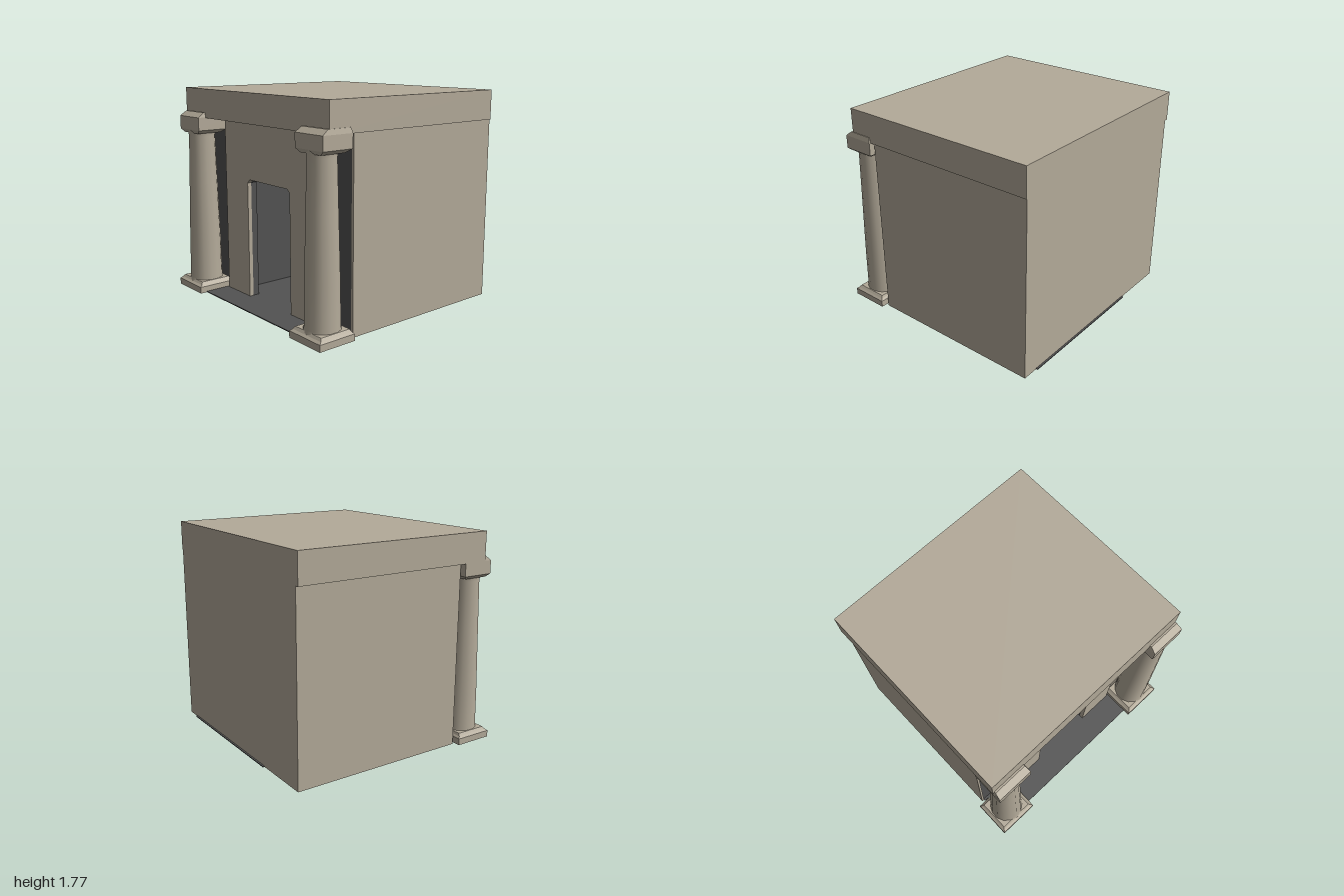
import * as THREE from 'three';

const stone = new THREE.MeshStandardMaterial({ color: 0xb3aa99 });
const facetedStone = new THREE.MeshStandardMaterial({ color: 0xb3aa99, flatShading: true });
const dark = new THREE.MeshStandardMaterial({ color: 0x525252 });

function add(parent, name, geometry, material) {
  const mesh = new THREE.Mesh(geometry, material);
  mesh.name = name;
  parent.add(mesh);
  return mesh;
}

// Box given by its extents on each axis
function box(parent, name, [x0, x1], [y0, y1], [z0, z1], material = stone) {
  const mesh = add(parent, name, new THREE.BoxGeometry(x1 - x0, y1 - y0, z1 - z0), material);
  mesh.position.set((x0 + x1) / 2, (y0 + y1) / 2, (z0 + z1) / 2);
  return mesh;
}

function polygon(points) {
  return new THREE.Shape(points.map(([x, y]) => new THREE.Vector2(x, y)));
}

// Square block lofted from rings [y, x0, x1, z0, z1]
function block(parent, name, rings) {
  const positions = [], index = [];
  for (const [y, x0, x1, z0, z1] of rings) positions.push(x0, y, z1, x1, y, z1, x1, y, z0, x0, y, z0);
  for (let r = 0; r < rings.length - 1; r++) {
    for (let i = 0; i < 4; i++) {
      const a = r * 4 + i, b = r * 4 + (i + 1) % 4;
      index.push(a, b, b + 4, a, b + 4, a + 4);
    }
  }
  const t = (rings.length - 1) * 4;
  index.push(0, 2, 1, 0, 3, 2, t, t + 1, t + 2, t, t + 2, t + 3);
  const geometry = new THREE.BufferGeometry();
  geometry.setAttribute('position', new THREE.Float32BufferAttribute(positions, 3));
  geometry.setIndex(index);
  geometry.computeVertexNormals();
  return add(parent, name, geometry, facetedStone);
}

// Tapered column with plinth and bevelled capital
function column(side) {
  const group = new THREE.Group();
  group.name = side > 0 ? 'leftColumn' : 'rightColumn';
  block(group, 'plinth', [
    [0, -0.18, 0.18, -0.16, 0.17],
    [0.055, -0.18, 0.18, -0.16, 0.17],
    [0.07, -0.165, 0.165, -0.145, 0.15],
    [0.09, -0.15, 0.15, -0.135, 0.135],
  ]);
  const profile = [[0.15, 0.06], [0.15, 0.08], [0.14, 0.1], [0.135, 0.45], [0.122, 0.95], [0.112, 1.36], [0.12, 1.42]];
  add(group, 'shaft', new THREE.LatheGeometry(profile.map(([r, y]) => new THREE.Vector2(r, y)), 14), stone);
  block(group, 'capital', [
    [1.39, -0.115, 0.115, -0.11, 0.105],
    [1.42, -0.155, 0.155, -0.155, 0.12],
    [1.53, -0.155, 0.155, -0.155, 0.12],
    [1.57, -0.145, 0.145, -0.145, 0.065],
  ]);
  group.position.set(side * 0.82, 0, 0.77);
  return group;
}

// Door wall outline with a chamfered opening, extruded from z0 to z1
function doorWall(parent, name, z0, z1, material) {
  const outline = polygon([
    [-0.62, 0], [-0.29, 0], [-0.29, 1.0], [-0.26, 1.03], [0.26, 1.03], [0.29, 1.0],
    [0.29, 0], [0.62, 0], [0.62, 1.53], [-0.62, 1.53],
  ]);
  const geometry = new THREE.ExtrudeGeometry(outline, { depth: z1 - z0, bevelEnabled: false });
  add(parent, name, geometry, material).position.z = z0;
}

export function createModel() {
  const model = new THREE.Group();
  model.name = 'temple';

  // Floor and its slight step at the back
  box(model, 'floor', [-0.93, 0.93], [0, 0.008], [-0.925, 0.6], dark);
  box(model, 'porchFloor', [-0.66, 0.66], [0, 0.008], [0.6, 0.88], dark);
  box(model, 'floorBackEdge', [-0.45, 0.81], [0, 0.008], [-0.945, -0.92], dark);

  // Hollow chamber, open to the front
  const plan = polygon([
    [-0.935, -0.58], [-0.5, -0.58], [-0.5, 0.88], [0.5, 0.88],
    [0.5, -0.58], [0.935, -0.58], [0.935, 0.92], [-0.935, 0.92],
  ]);
  const chamber = add(model, 'chamber', new THREE.ExtrudeGeometry(plan, { depth: 1.53, bevelEnabled: false }), dark);
  chamber.rotation.x = -Math.PI / 2;
  box(model, 'chamberCeiling', [-0.55, 0.55], [1.49, 1.525], [-0.9, 0.6], dark);

  // Stone facing of the outer walls
  for (const s of [-1, 1]) {
    box(model, s > 0 ? 'leftWall' : 'rightWall', [s * 0.94 - 0.01, s * 0.94 + 0.01], [0, 1.53], [-0.93, 0.585]);
  }
  box(model, 'backWall', [-0.95, 0.95], [0, 1.53], [-0.93, -0.915]);

  // Front wall with doorway
  doorWall(model, 'doorWallCore', 0.57, 0.625, dark);
  doorWall(model, 'doorWallFace', 0.625, 0.66, stone);

  // Flat roof
  box(model, 'roof', [-0.98, 0.96], [1.525, 1.77], [-0.93, 0.82]);

  for (const s of [-1, 1]) model.add(column(s));
  return model;
}
